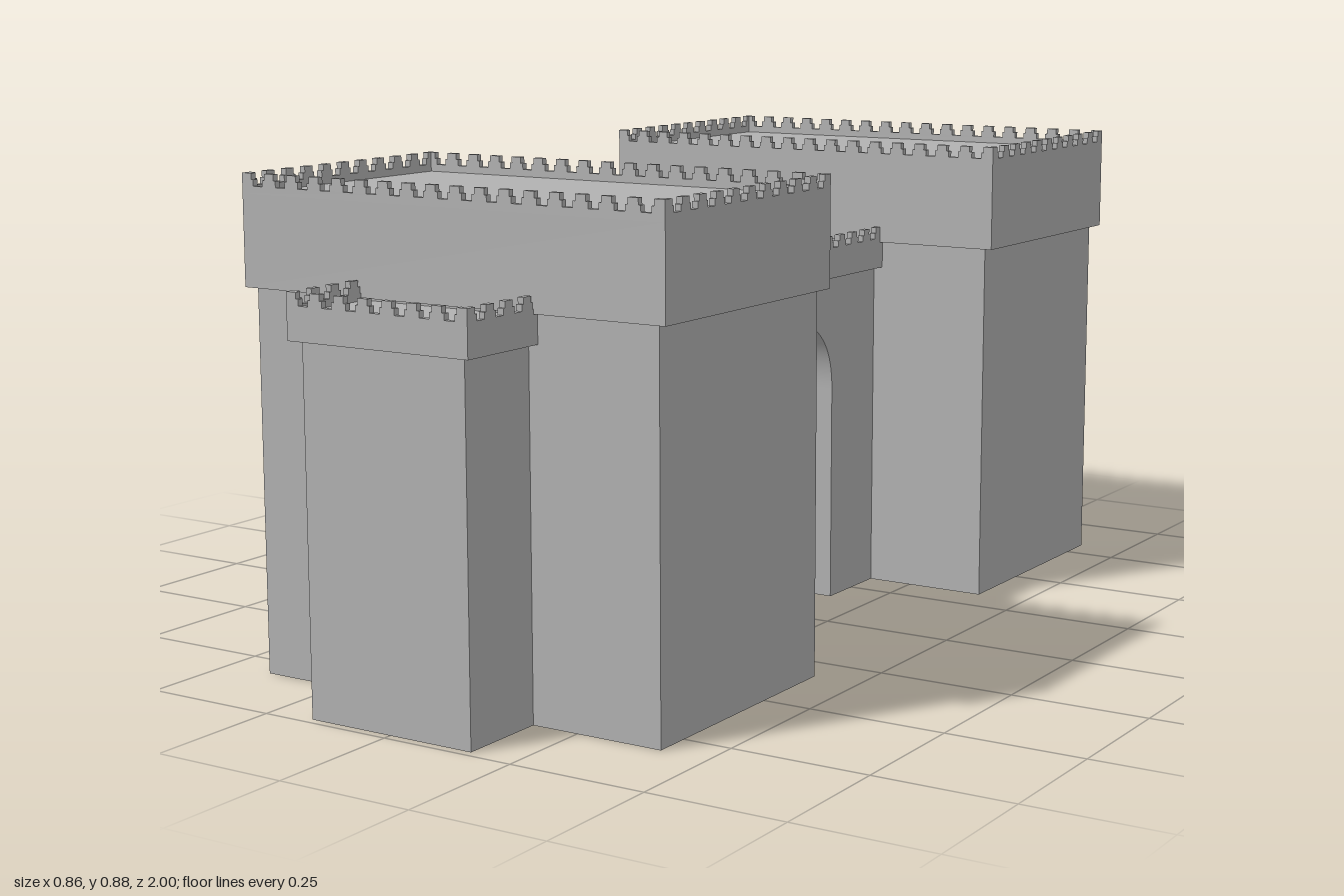
import * as THREE from 'three';
import { toCreasedNormals } from 'three/addons/utils/BufferGeometryUtils.js';

const stone = new THREE.MeshStandardMaterial({ color: 0xb2b2b2 });
stone.name = 'stone';

const THICK = 0.011; // parapet thickness
const TOOTH = 0.02; // width of a merlon's top
const PITCH = 0.0487; // spacing of merlons

function add(parent, name, geometry, x = 0, y = 0, z = 0) {
  const mesh = new THREE.Mesh(geometry, stone);
  mesh.name = name;
  mesh.position.set(x, y, z);
  parent.add(mesh);
  return mesh;
}

function block(parent, name, w, d, y0, y1) {
  return add(parent, name, new THREE.BoxGeometry(w, y1 - y0, d), 0, (y0 + y1) / 2, 0);
}

// Upright board with stepped merlons along its top, centred on x and z
function battlement(length, y0, notch, top) {
  const half = length / 2;
  const gaps = Math.round((length - TOOTH) / PITCH);
  const pitch = (length - TOOTH) / gaps;
  const mid = (notch + top) / 2;
  const s = new THREE.Shape();
  s.moveTo(-half, y0);
  s.lineTo(-half, top);
  for (let i = 0; i < gaps; i++) {
    const a = -half + TOOTH + i * pitch;
    const b = a + pitch - TOOTH;
    const step = 0.0045;
    s.lineTo(a, top);
    s.lineTo(a, mid);
    s.lineTo(a + step, mid);
    s.lineTo(a + step, notch);
    s.lineTo(b - step, notch);
    s.lineTo(b - step, mid);
    s.lineTo(b, mid);
    s.lineTo(b, top);
  }
  s.lineTo(half, top);
  s.lineTo(half, y0);
  const g = new THREE.ExtrudeGeometry(s, { depth: THICK, bevelEnabled: false });
  return g.translate(0, 0, -THICK / 2);
}

// Overhanging cap: solid slab with a battlement on each of its four edges
function crown(parent, w, d, y0, floor, notch, top) {
  const g = new THREE.Group();
  g.name = 'crown';
  parent.add(g);
  block(g, 'roofSlab', w, d, y0, floor);
  for (const side of [-1, 1]) {
    add(g, 'endBattlement', battlement(w, floor, notch, top), 0, 0, side * (d - THICK) / 2);
    const long = add(g, 'sideBattlement', battlement(d, floor, notch, top), side * (w - THICK) / 2);
    long.rotation.y = Math.PI / 2;
  }
}

// Wall over the gateway, pierced by a rounded arch
function gateWall() {
  const end = 0.34, a = 0.165, spring = 0.41, rise = 0.555;
  const s = new THREE.Shape();
  s.moveTo(-end, 0);
  s.lineTo(-a, 0);
  s.lineTo(-a, spring);
  s.bezierCurveTo(-a, spring + 0.093, -0.105, rise, 0, rise);
  s.bezierCurveTo(0.105, rise, a, spring + 0.093, a, spring);
  s.lineTo(a, 0);
  s.lineTo(end, 0);
  s.lineTo(end, 0.63);
  s.lineTo(-end, 0.63);
  const g = new THREE.ExtrudeGeometry(s, { depth: 0.326, bevelEnabled: false, curveSegments: 20 });
  g.translate(0, 0, -0.163).rotateY(-Math.PI / 2);
  return toCreasedNormals(g, 0.5);
}

export function createModel() {
  const model = new THREE.Group();
  model.name = 'gatehouse';

  // Two broad towers
  for (const side of [1, -1]) {
    const tower = new THREE.Group();
    tower.name = side > 0 ? 'frontTower' : 'rearTower';
    tower.position.set(side > 0 ? 0.0035 : -0.005, 0, side * 0.574);
    block(tower, 'towerBody', 0.816, 0.488, 0, 0.68);
    crown(tower, 0.853, 0.51, 0.68, 0.84, 0.853, 0.875);
    model.add(tower);

    // Stub of wall beyond each tower
    const stub = add(model, side > 0 ? 'frontWallStub' : 'rearWallStub',
      new THREE.BoxGeometry(0.326, 0.63, 0.195), 0, 0.315, side * 0.8875);
    stub.updateMatrix();
  }

  // Low wall and gateway running between and through the towers
  add(model, 'gateWall', gateWall());
  const walk = new THREE.Group();
  walk.name = 'wallWalk';
  crown(walk, 0.362, 2, 0.63, 0.675, 0.688, 0.71);
  model.add(walk);

  return model;
}
